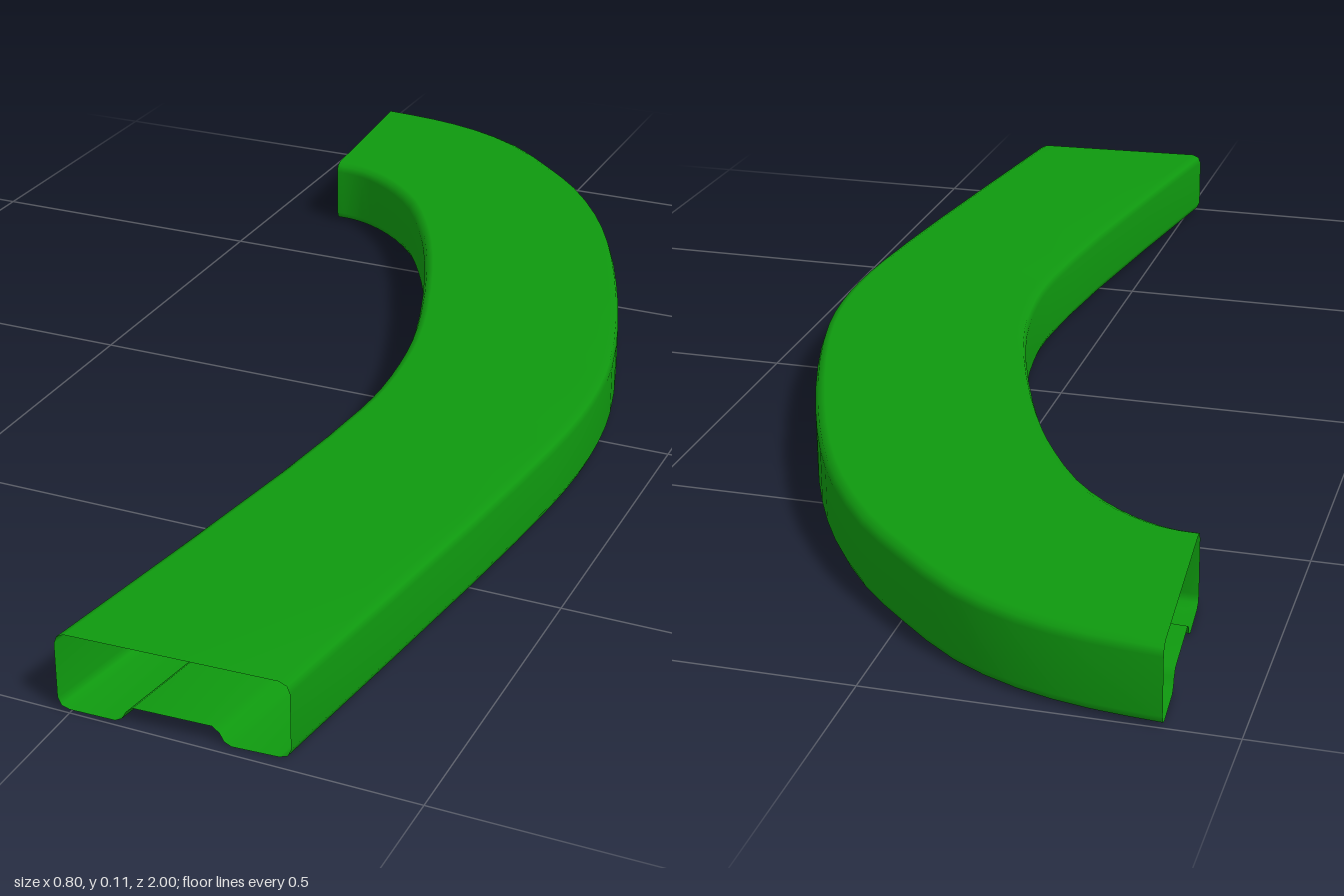
import * as THREE from 'three';

// Smooth plan-view edge through [x, z] points
const edge = (pts) => new THREE.CatmullRomCurve3(pts.map(([x, z]) => new THREE.Vector3(x, 0, z)));

// Outer and inner edges of the bend, paired across the width from back to front
const outerEdge = edge([
  [-0.4, -1], [-0.3, -0.99], [-0.2, -0.965], [-0.1, -0.915], [0, -0.83], [0.08, -0.75],
  [0.16, -0.64], [0.22, -0.53], [0.28, -0.39], [0.34, -0.22], [0.38, -0.07], [0.395, 0.03],
  [0.4, 0.13], [0.395, 0.25], [0.37, 0.5], [0.31, 0.98],
]);
const innerEdge = edge([
  [-0.375, -0.67], [-0.35, -0.669], [-0.32, -0.662], [-0.28, -0.643], [-0.23, -0.607], [-0.175, -0.55],
  [-0.12, -0.465], [-0.08, -0.39], [-0.03, -0.275], [0.025, -0.12], [0.055, -0.01], [0.07, 0.08],
  [0.078, 0.17], [0.077, 0.25], [0.055, 0.48], [-0.02, 0.995],
]);

// Closed cross-section [fraction of width, height]: rounded box with a channel between two feet
const half = [
  [0.33, 0.026], [0.3, 0.018], [0.28, 0.006], [0.25, 0.001], [0.05, 0.002], [0.015, 0.006],
  [0, 0.017], [0, 0.1], [0.012, 0.111], [0.045, 0.116],
];
const profile = [...half, ...half.map(([u, y]) => [1 - u, y]).reverse()];

// Open-ended sweep of the cross-section between the two edges
function sweepGeometry(steps) {
  const n = profile.length;
  const positions = [];
  const index = [];
  for (let i = 0; i <= steps; i++) {
    const a = innerEdge.getPoint(i / steps);
    const b = outerEdge.getPoint(i / steps);
    for (const [u, y] of profile) {
      const p = a.clone().lerp(b, u);
      positions.push(p.x, y, p.z);
    }
  }
  for (let i = 0; i < steps; i++) {
    for (let j = 0; j < n; j++) {
      const a = i * n + j, d = i * n + (j + 1) % n;
      index.push(a, a + n, d, d, a + n, d + n);
    }
  }
  const geometry = new THREE.BufferGeometry();
  geometry.setAttribute('position', new THREE.Float32BufferAttribute(positions, 3));
  geometry.setIndex(index);
  geometry.computeVertexNormals();
  return geometry;
}

export function createModel() {
  const group = new THREE.Group();
  group.name = 'curvedRail';
  const material = new THREE.MeshStandardMaterial({ color: 0x0f990f, side: THREE.DoubleSide });
  const shell = new THREE.Mesh(sweepGeometry(30), material);
  shell.name = 'hollowCurvedShell';
  group.add(shell);
  return group;
}
